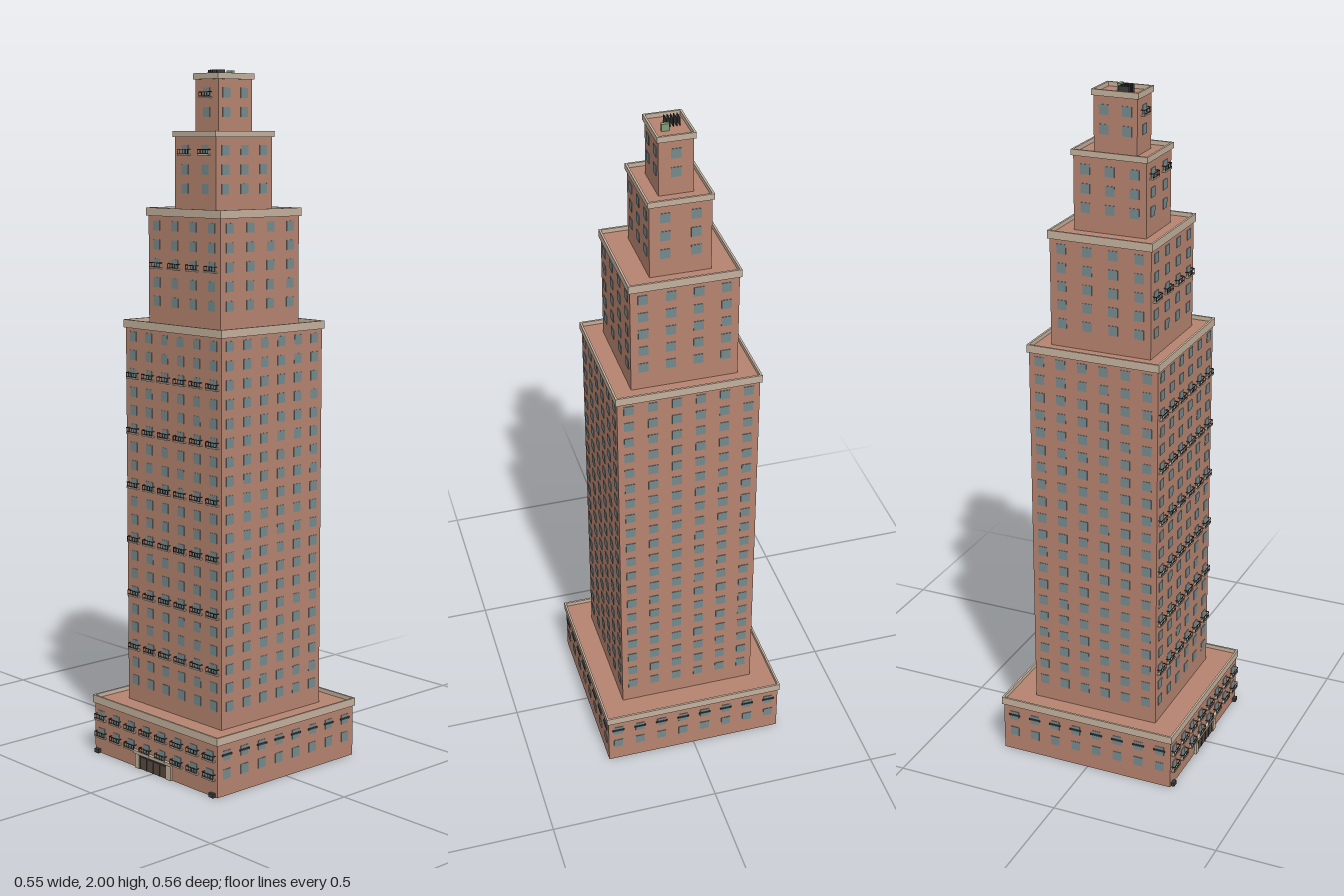
import * as THREE from 'three';
import { mergeGeometries } from 'three/addons/utils/BufferGeometryUtils.js';

const mat = (color) => new THREE.MeshStandardMaterial({ color, roughness: 0.85 });
const BRICK = mat(0xb5836f), STONE = mat(0xc4b09c), GLASS = mat(0x75898c);
const IRON = mat(0x3a3a3a), DOOR = mat(0x5a4a40), GREEN = mat(0x7f9f78);

const CZ = -0.004;   // tower axis in z
const ROW = 0.0537;  // storey height

// Tiers: half width, half depth, bottom, parapet top and height, first (top)
// window row, row count, columns and column spacing on x and z faces,
// and the rows that carry front balconies.
const TIERS = [
  { name: 'base', w: 0.27, d: 0.271, y0: 0, y1: 0.174, top: 0.117, rows: 2, nx: 8, sx: 0.0685, nz: 8, sz: 0.0675, balcony: [0, 1] },
  { name: 'shaft', w: 0.204, d: 0.195, y0: 0.155, y1: 1.294, top: 1.247, rows: 20, nx: 6, sx: 0.0685, nz: 6, sz: 0.0655, balcony: [2, 5, 8, 11, 14, 17] },
  { name: 'upperShaft', w: 0.152, d: 0.151, y0: 1.275, y1: 1.615, top: 1.565, rows: 5, nx: 4, sx: 0.0775, nz: 4, sz: 0.0775, balcony: [2] },
  { name: 'crown', w: 0.086, d: 0.108, y0: 1.595, y1: 1.83, top: 1.777, rows: 3, nx: 2, sx: 0.085, nz: 3, sz: 0.073, balcony: [0] },
  { name: 'lantern', w: 0.048, d: 0.064, y0: 1.81, y1: 1.99, top: 1.936, rows: 2, nx: 1, sx: 0.08, nz: 2, sz: 0.068, balcony: [0] },
];

const box = (w, h, d, x, y, z) => new THREE.BoxGeometry(w, h, d).translate(x, y, z);

function add(group, name, geos, material) {
  const list = Array.isArray(geos) ? geos : [geos];
  if (!list.length) return;
  const mesh = new THREE.Mesh(list.length > 1 ? mergeGeometries(list) : list[0], material);
  mesh.name = name;
  group.add(mesh);
}

// Rectangular ring around the roof edge
function parapet(w, d, h, y) {
  const rect = (Type, a, b) => new Type([[-a, -b], [a, -b], [a, b], [-a, b]].map((p) => new THREE.Vector2(...p)));
  const shape = rect(THREE.Shape, w + 0.005, d + 0.005);
  shape.holes.push(rect(THREE.Path, w - 0.001, d - 0.001));
  return new THREE.ExtrudeGeometry(shape, { depth: h, bevelEnabled: false })
    .rotateX(-Math.PI / 2).translate(0, y, CZ);
}

function buildTier(t) {
  const g = new THREE.Group();
  g.name = t.name;
  const small = t.name === 'lantern' || t.name === 'crown';
  const trimH = small ? 0.017 : 0.023;
  const roof = t.y1 - 0.012;
  add(g, 'walls', box(2 * t.w, roof - t.y0, 2 * t.d, 0, (roof + t.y0) / 2, CZ), BRICK);
  add(g, 'parapet', parapet(t.w, t.d, trimH, t.y1 - trimH), STONE);

  const windows = [], ledges = [], slabs = [], rails = [];
  // Faces in order: front, left, back, right
  for (let f = 0; f < 4; f++) {
    const side = f % 2 === 1;
    const n = side ? t.nz : t.nx, step = side ? t.sz : t.sx, out = side ? t.w : t.d;
    const place = (geo) => geo.rotateY(f * Math.PI / 2).translate(0, 0, CZ);
    for (let r = 0; r < t.rows; r++) for (let c = 0; c < n; c++) {
      const x = (c - (n - 1) / 2) * step, y = t.top - r * ROW;
      // The entrance replaces the lower middle windows
      windows.push(place(box(0.028, 0.028, 0.003, x, y, out)));
      if (f === 0 && t.balcony.includes(r)) {
        slabs.push(place(box(0.045, 0.004, 0.011, x, y - 0.013, out + 0.0055)));
        rails.push(place(box(0.045, 0.002, 0.0015, x, y + 0.002, out + 0.01)));
        rails.push(place(box(0.045, 0.002, 0.0015, x, y - 0.009, out + 0.01)));
        for (let k = -2; k <= 2; k++)
          rails.push(place(box(0.0012, 0.014, 0.0012, x + k * 0.0109, y - 0.005, out + 0.01)));
        for (const s of [-1, 1])
          rails.push(place(box(0.0015, 0.002, 0.01, x + s * 0.0217, y + 0.002, out + 0.005)));
      } else if (f > 0 && t.name === 'base' && r === 0) {
        ledges.push(place(box(0.036, 0.005, 0.004, x, y + 0.002, out + 0.002)));
      }
    }
  }
  add(g, 'windows', windows, GLASS);
  add(g, 'windowLedges', ledges, IRON);
  add(g, 'balconySlabs', slabs, STONE);
  add(g, 'balconyRails', rails, IRON);
  return g;
}

function buildEntrance(z) {
  const g = new THREE.Group();
  g.name = 'entrance';
  add(g, 'surround', [
    box(0.018, 0.044, 0.008, -0.07, 0.022, z + 0.003),
    box(0.018, 0.044, 0.008, 0.07, 0.022, z + 0.003),
    box(0.162, 0.009, 0.011, 0, 0.048, z + 0.0045),
  ], STONE);
  add(g, 'doors', box(0.122, 0.044, 0.005, 0, 0.022, z + 0.001), DOOR);
  const bars = [box(0.122, 0.004, 0.003, 0, 0.036, z + 0.004)];
  for (let i = -2; i <= 2; i++) bars.push(box(0.003, 0.036, 0.003, i * 0.029, 0.018, z + 0.004));
  add(g, 'doorFrames', bars, IRON);
  // Small planters at the front corners
  add(g, 'planters', [-1, 1].map((s) => box(0.018, 0.012, 0.01, s * 0.254, 0.006, z + 0.005)), IRON);
  return g;
}

function buildRoofPlant(y) {
  const g = new THREE.Group();
  g.name = 'roofEquipment';
  add(g, 'coolingUnit', box(0.022, 0.02, 0.011, 0.015, y + 0.01, -0.017), GREEN);
  const fins = [];
  for (let i = 0; i < 5; i++) fins.push(box(0.002, 0.022, 0.031, -0.03 + i * 0.009, y + 0.011, 0.0125));
  add(g, 'ventFins', fins, IRON);
  return g;
}

export function createModel() {
  const model = new THREE.Group();
  model.name = 'steppedTower';
  for (const t of TIERS) model.add(buildTier(t));
  model.add(buildEntrance(CZ + TIERS[0].d));
  model.add(buildRoofPlant(1.978));
  return model;
}
